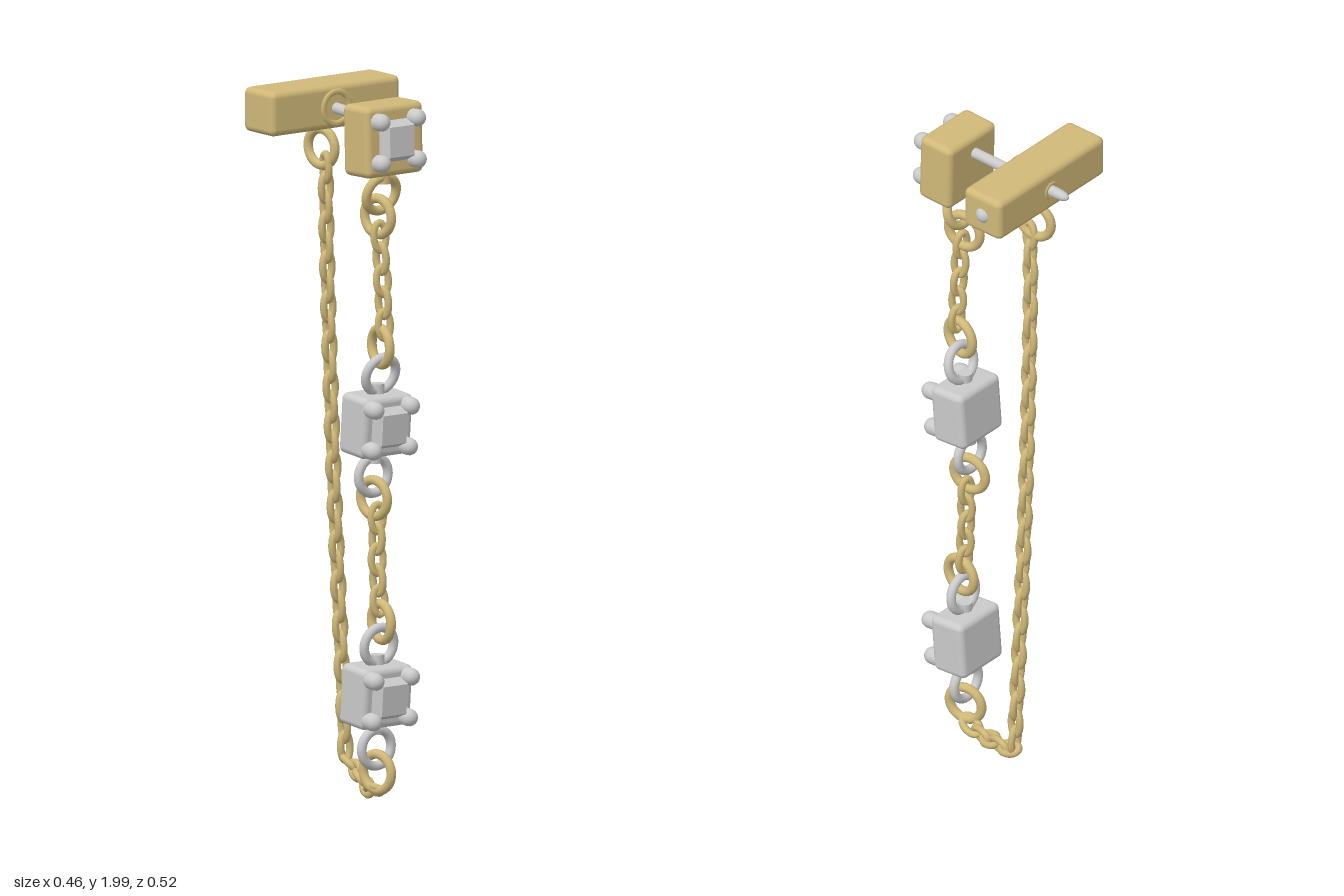
import * as THREE from 'three';
import { RoundedBoxGeometry } from 'three/addons/geometries/RoundedBoxGeometry.js';

const V = (x, y, z) => new THREE.Vector3(x, y, z);

export function createModel() {
  const model = new THREE.Group();
  const gold = new THREE.MeshStandardMaterial({ color: 0xd0b878 });
  gold.name = 'gold';
  const silver = new THREE.MeshStandardMaterial({ color: 0xcacaca });
  silver.name = 'silver';

  function add(name, geometry, material, position, parent = model) {
    const mesh = new THREE.Mesh(geometry, material);
    mesh.name = name;
    mesh.position.copy(position);
    parent.add(mesh);
    return mesh;
  }

  // Round rings: facing the front (tilted about x) or facing sideways
  const ringGeometry = new THREE.TorusGeometry(0.051, 0.0135, 12, 36);
  function frontRing(name, material, position, tilt) {
    add(name, ringGeometry, material, position).rotation.x = tilt;
  }
  function sideRing(name, position, turn = 0) {
    add(name, ringGeometry, gold, position).rotation.y = Math.PI / 2 + turn;
  }

  // Oval chain link, long axis along y
  const ovalPoints = [];
  for (let i = 0; i < 12; i++) {
    const a = (i / 12) * Math.PI * 2;
    ovalPoints.push(V(0.0185 * Math.cos(a), 0.039 * Math.sin(a), 0));
  }
  const linkGeometry = new THREE.TubeGeometry(
    new THREE.CatmullRomCurve3(ovalPoints, true), 24, 0.0105, 8, true);

  // Links set along a curve, twisted alternately about a flat direction
  function chain(name, points, flat) {
    const curve = new THREE.CatmullRomCurve3(points);
    const count = Math.round(curve.getLength() / 0.057);
    const group = new THREE.Group();
    group.name = name;
    for (let i = 0; i < count; i++) {
      const u = (i + 0.5) / count;
      const along = curve.getTangentAt(u);
      const normal = flat.clone().addScaledVector(along, -flat.dot(along)).normalize();
      normal.applyAxisAngle(along, i % 2 ? 0.6 : -0.6);
      const across = along.clone().cross(normal);
      const link = add('chainLink', linkGeometry, gold, curve.getPointAt(u), group);
      link.quaternion.setFromRotationMatrix(new THREE.Matrix4().makeBasis(across, along, normal));
    }
    model.add(group);
  }

  // Square block with a faceted stone held by four round prongs
  const prongGeometry = new THREE.CapsuleGeometry(0.0245, 0.02, 6, 16).rotateX(Math.PI / 2);
  const stoneGeometry = new THREE.CylinderGeometry(0.06, 0.088, 0.036, 4, 1)
    .toNonIndexed().rotateY(Math.PI / 4).rotateX(Math.PI / 2);
  stoneGeometry.computeVertexNormals();
  function setting(name, width, material, position, tilt) {
    const group = new THREE.Group();
    group.name = name;
    group.position.copy(position);
    group.rotation.x = tilt;
    add('block', new RoundedBoxGeometry(width, width, 0.115, 4, 0.018), material, V(0, 0, 0), group);
    add('stone', stoneGeometry, silver, V(0, 0, 0.068), group);
    for (const x of [-1, 1]) for (const y of [-1, 1])
      add('prong', prongGeometry, silver, V(x * 0.062, y * 0.058, 0.065), group);
    model.add(group);
  }

  // Stud, post and clasp bar
  setting('stud', 0.2, gold, V(-0.01, 1.883, 0.157), -0.03);
  add('claspBar', new RoundedBoxGeometry(0.45, 0.125, 0.134, 4, 0.018), gold, V(-0.005, 1.9375, -0.128));
  add('claspButton', new THREE.SphereGeometry(0.025, 20, 14), silver, V(0.208, 1.937, -0.131));
  add('claspCollar', new THREE.TorusGeometry(0.045, 0.009, 10, 36), gold, V(-0.006, 1.935, -0.06)).scale.z = 0.6;
  add('rearCollar', new THREE.TorusGeometry(0.021, 0.006, 8, 28), gold, V(0.002, 1.939, -0.195)).scale.z = 0.6;
  const postProfile = [[0, 0], [0.0155, 0], [0.0155, 0.325], [0.014, 0.345], [0.01, 0.357], [0.005, 0.363], [0, 0.364]];
  const postStart = V(-0.015, 1.927, 0.104);
  const post = add('post', new THREE.LatheGeometry(postProfile.map(p => new THREE.Vector2(...p)), 20), silver, postStart);
  post.quaternion.setFromUnitVectors(V(0, 1, 0), V(0.005, 1.941, -0.26).sub(postStart).normalize());

  // Hanging square drops
  setting('upperDrop', 0.172, silver, V(-0.008, 1.076, 0.121), 0.08);
  setting('lowerDrop', 0.172, silver, V(-0.008, 0.314, 0.121), 0.08);

  // Short stubs where rings meet the blocks
  const stubGeometry = new THREE.CylinderGeometry(0.02, 0.02, 0.04, 16);
  add('studStub', stubGeometry, gold, V(-0.01, 1.775, 0.158));
  for (const [y, z] of [[1.168, 0.127], [0.982, 0.113], [0.406, 0.127], [0.22, 0.116]])
    add('dropStub', stubGeometry, silver, V(-0.008, y, z));

  // Connecting rings
  frontRing('studRing', gold, V(-0.012, 1.725, 0.15), 0.25);
  frontRing('upperDropTopRing', silver, V(-0.008, 1.215, 0.142), 0.26);
  frontRing('upperDropBottomRing', silver, V(-0.008, 0.927, 0.109), 0.03);
  frontRing('lowerDropTopRing', silver, V(-0.008, 0.452, 0.134), 0.1);
  frontRing('lowerDropBottomRing', silver, V(-0.008, 0.162, 0.123), 0.03);
  sideRing('upperChainTopRing', V(-0.008, 1.658, 0.13), 0.15);
  sideRing('upperChainBottomRing', V(-0.012, 1.295, 0.148), -0.15);
  sideRing('lowerChainTopRing', V(-0.005, 0.862, 0.108), 0.15);
  sideRing('lowerChainBottomRing', V(0, 0.517, 0.135), -0.1);
  sideRing('baseRing', V(-0.004, 0.093, 0.122), 0.2);
  sideRing('claspRing', V(0, 1.812, -0.136), 0.15);

  // Chains: two between the front pieces, one down the back and across the base
  chain('upperChain', [V(-0.014, 1.635, 0.143), V(-0.008, 1.48, 0.15), V(-0.004, 1.325, 0.156)], V(1, 0, -1));
  chain('lowerChain', [V(0.002, 0.835, 0.114), V(0, 0.69, 0.116), V(0.002, 0.545, 0.124)], V(1, 0, -1));
  chain('backChain', [V(0, 1.785, -0.117), V(0.012, 1.55, -0.128), V(0.04, 0.9, -0.134),
    V(0.062, 0.45, -0.132), V(0.075, 0.09, -0.124)], V(1, 0, 1));
  chain('baseChain', [V(0, 0.044, 0.118), V(0.016, 0.034, 0.06), V(0.042, 0.052, -0.01),
    V(0.064, 0.068, -0.07), V(0.077, 0.088, -0.13)], V(1, 0.4, 0.3));

  return model;
}
